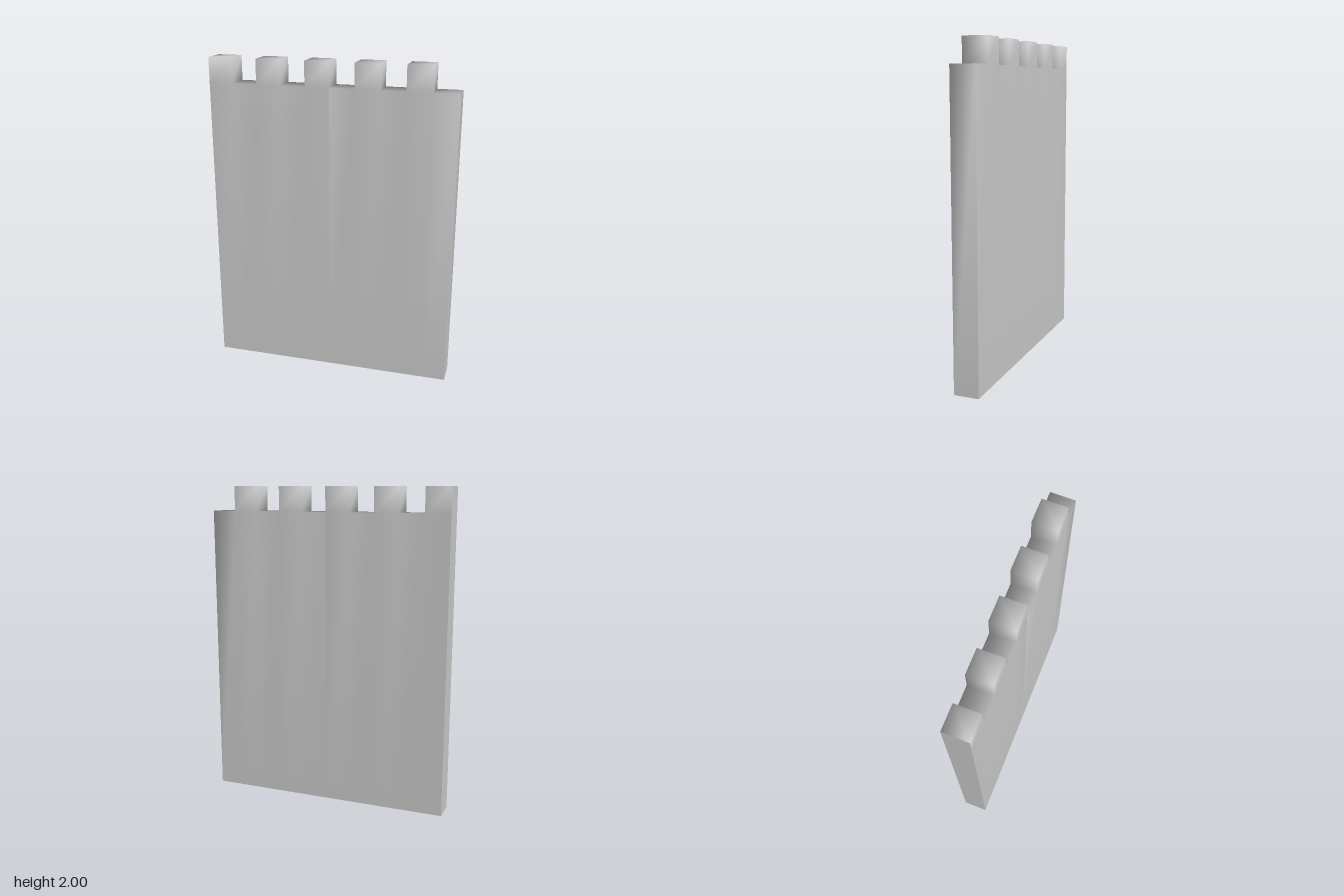
import * as THREE from 'three';

const HALF_W = 0.77, HALF_D = 0.077, FLOOR_Y = 1.846, TOP_Y = 2;
const COLUMNS = 10, STEP = (2 * HALF_W) / COLUMNS;

// Collects quads, welding corners that share a position and tag so the shading flows across them.
function createSurface() {
  const positions = [], indices = [], known = new Map();
  const corner = ([x, y, z, tag = '']) => {
    const key = [x.toFixed(3), y.toFixed(3), z.toFixed(3), tag].join();
    if (!known.has(key)) {
      known.set(key, positions.length / 3);
      positions.push(x, y, z);
    }
    return known.get(key);
  };
  return {
    // corners run counter-clockwise seen from outside
    quad(...corners) {
      const [a, b, c, d] = corners.map(corner);
      indices.push(a, b, c, a, c, d);
    },
    build() {
      const geometry = new THREE.BufferGeometry();
      geometry.setAttribute('position', new THREE.Float32BufferAttribute(positions, 3));
      geometry.setIndex(indices);
      geometry.computeVertexNormals();
      return geometry;
    },
  };
}

export function createModel() {
  const group = new THREE.Group();
  group.name = 'battlementWall';
  const surface = createSurface();
  const D = HALF_D;

  // Front and back panels between two heights
  const panels = (x0, x1, y0, y1) => {
    surface.quad([x0, y0, D], [x1, y0, D], [x1, y1, D], [x0, y1, D]);
    surface.quad([x1, y0, -D], [x0, y0, -D], [x0, y1, -D], [x1, y1, -D]);
  };
  // Level cap on top of a column
  const cap = (x0, x1, y) =>
    surface.quad([x0, y, D], [x1, y, D], [x1, y, -D], [x0, y, -D]);
  // Upright ends facing +x and -x; tags keep chosen corners creased
  const leftEnd = (x, y0, y1, lowTag) =>
    surface.quad([x, y0, D, lowTag], [x, y0, -D, lowTag], [x, y1, -D], [x, y1, D]);
  const rightEnd = (x, y0, y1, tag) =>
    surface.quad([x, y0, -D, tag], [x, y0, D, tag], [x, y1, D, tag], [x, y1, -D, tag]);

  // Alternating merlons and gaps, starting with a merlon on the -x end
  for (let i = 0; i < COLUMNS; i++) {
    const x0 = -HALF_W + i * STEP, x1 = x0 + STEP;
    panels(x0, x1, 0, FLOOR_Y);
    if (i % 2 === 0) {
      panels(x0, x1, FLOOR_Y, TOP_Y);
      cap(x0, x1, TOP_Y);
      leftEnd(x1, FLOOR_Y, TOP_Y);
      if (i > 0) rightEnd(x0, FLOOR_Y, TOP_Y);
    } else {
      cap(x0, x1, FLOOR_Y);
    }
  }

  // Wall ends; the underside stays open
  leftEnd(HALF_W, 0, FLOOR_Y, 'base');
  rightEnd(-HALF_W, 0, TOP_Y, 'end');

  const wall = new THREE.Mesh(
    surface.build(),
    new THREE.MeshStandardMaterial({ color: 0xcccccc, side: THREE.DoubleSide })
  );
  wall.name = 'crenellatedWall';
  group.add(wall);
  return group;
}
